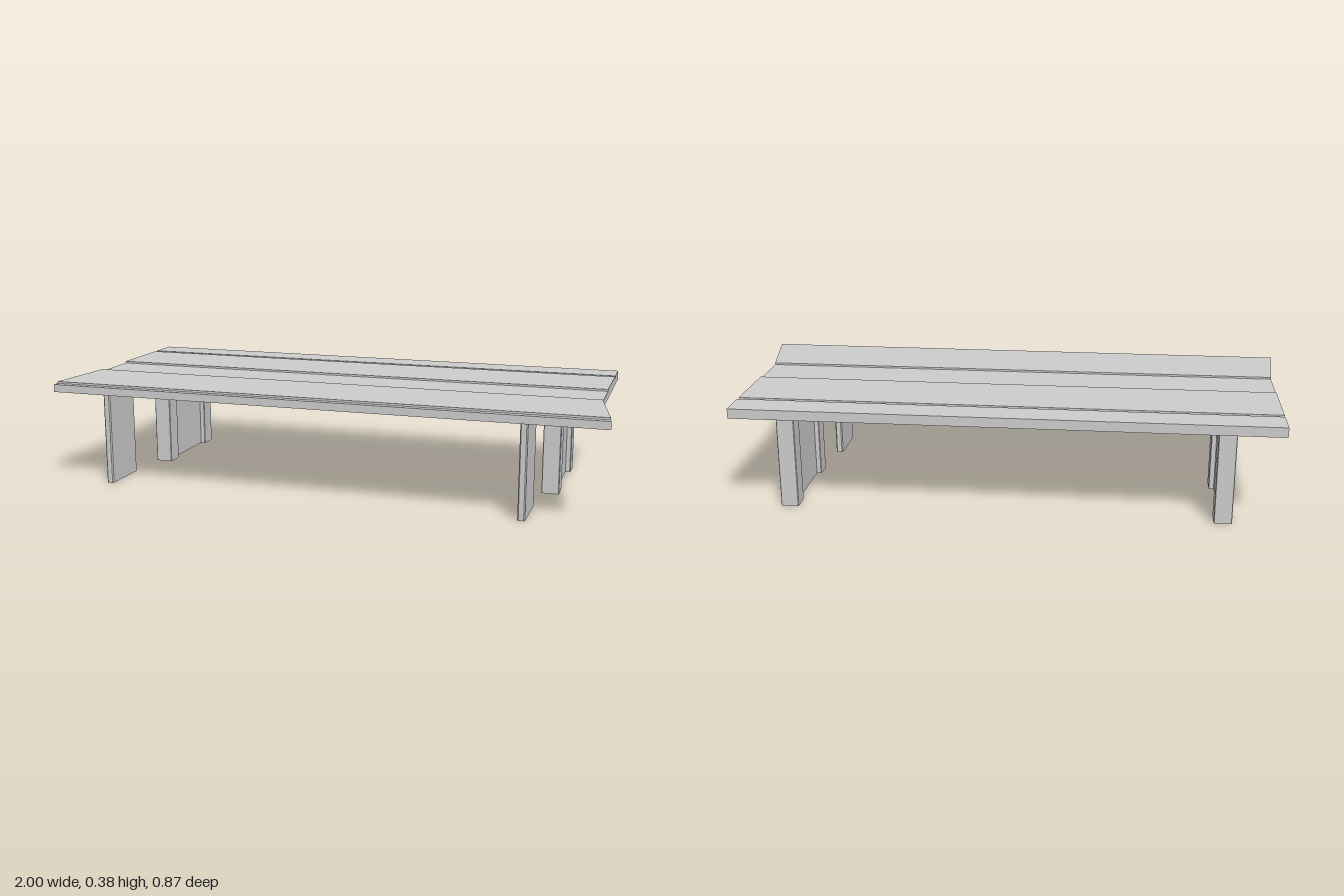
import * as THREE from 'three';

const material = new THREE.MeshStandardMaterial({ color: 0xcccccc, flatShading: true });
const FRONT = 0.435, KINK = 0.137, UNDERSIDE = 0.347;

// The table ends run straight at the back and flare out towards the front.
function endX(side, z) {
  const flare = Math.max(0, (z - KINK) / (FRONT - KINK));
  return side > 0 ? 0.94 + 0.058 * flare : -0.968 - 0.032 * flare;
}

// One full-length strip of the top, with its ends moved onto the flared outline.
function plank(zFront, zBack, top) {
  const height = top - UNDERSIDE;
  const geometry = new THREE.BoxGeometry(2, height, zFront - zBack);
  geometry.translate(0, UNDERSIDE + height / 2, (zFront + zBack) / 2);
  const p = geometry.attributes.position;
  for (let i = 0; i < p.count; i++) p.setX(i, endX(p.getX(i), p.getZ(i)));
  geometry.computeVertexNormals();
  return new THREE.Mesh(geometry, material);
}

// An upright board with lightly chamfered corners, from the floor to the top.
function upright(name, x0, x1, z0, z1, c) {
  const corners = [
    [x0 + c, z0], [x1 - c, z0], [x1, z0 + c], [x1, z1 - c],
    [x1 - c, z1], [x0 + c, z1], [x0, z1 - c], [x0, z0 + c],
  ];
  const shape = new THREE.Shape(corners.map(([x, z]) => new THREE.Vector2(x, -z)));
  const geometry = new THREE.ExtrudeGeometry(shape, { depth: UNDERSIDE, bevelEnabled: false });
  geometry.rotateX(-Math.PI / 2);
  const mesh = new THREE.Mesh(geometry, material);
  mesh.name = name;
  return mesh;
}

// Thin front leg plus a rear leg made of two posts joined by a recessed panel.
function legSet(name, x) {
  const group = new THREE.Group();
  group.name = name;
  group.add(
    upright('frontLeg', 0, 0.026, 0.185, 0.369, 0.004),
    upright('rearLegFrontPost', 0.027, 0.09, -0.05, 0.016, 0.002),
    upright('rearLegBackPost', 0.027, 0.09, -0.37, -0.302, 0.002),
  );
  const panel = new THREE.Mesh(new THREE.BoxGeometry(0.027, UNDERSIDE, 0.252), material);
  panel.name = 'rearLegPanel';
  panel.position.set(0.058, UNDERSIDE / 2, -0.176);
  group.add(panel);
  group.position.x = x;
  return group;
}

export function createModel() {
  const model = new THREE.Group();
  model.name = 'lowTable';

  // Raised boards and the lower strips between them, front to back
  const top = new THREE.Group();
  top.name = 'tableTop';
  const high = 0.382, low = 0.375;
  const strips = [
    ['frontLip', 0.435, 0.412, low],
    ['frontBoard', 0.412, KINK, high],
    ['middleBoard', KINK, -0.05, low],
    ['rearBoard', -0.05, -0.305, high],
    ['rearGroove', -0.305, -0.322, low],
    ['backBoard', -0.322, -0.435, high],
  ];
  for (const [name, zFront, zBack, y] of strips) {
    const mesh = plank(zFront, zBack, y);
    mesh.name = name;
    top.add(mesh);
  }
  model.add(top);

  // Both ends use the same leg set, facing the same way
  model.add(legSet('leftLegs', 0.7), legSet('rightLegs', -0.837));
  return model;
}
